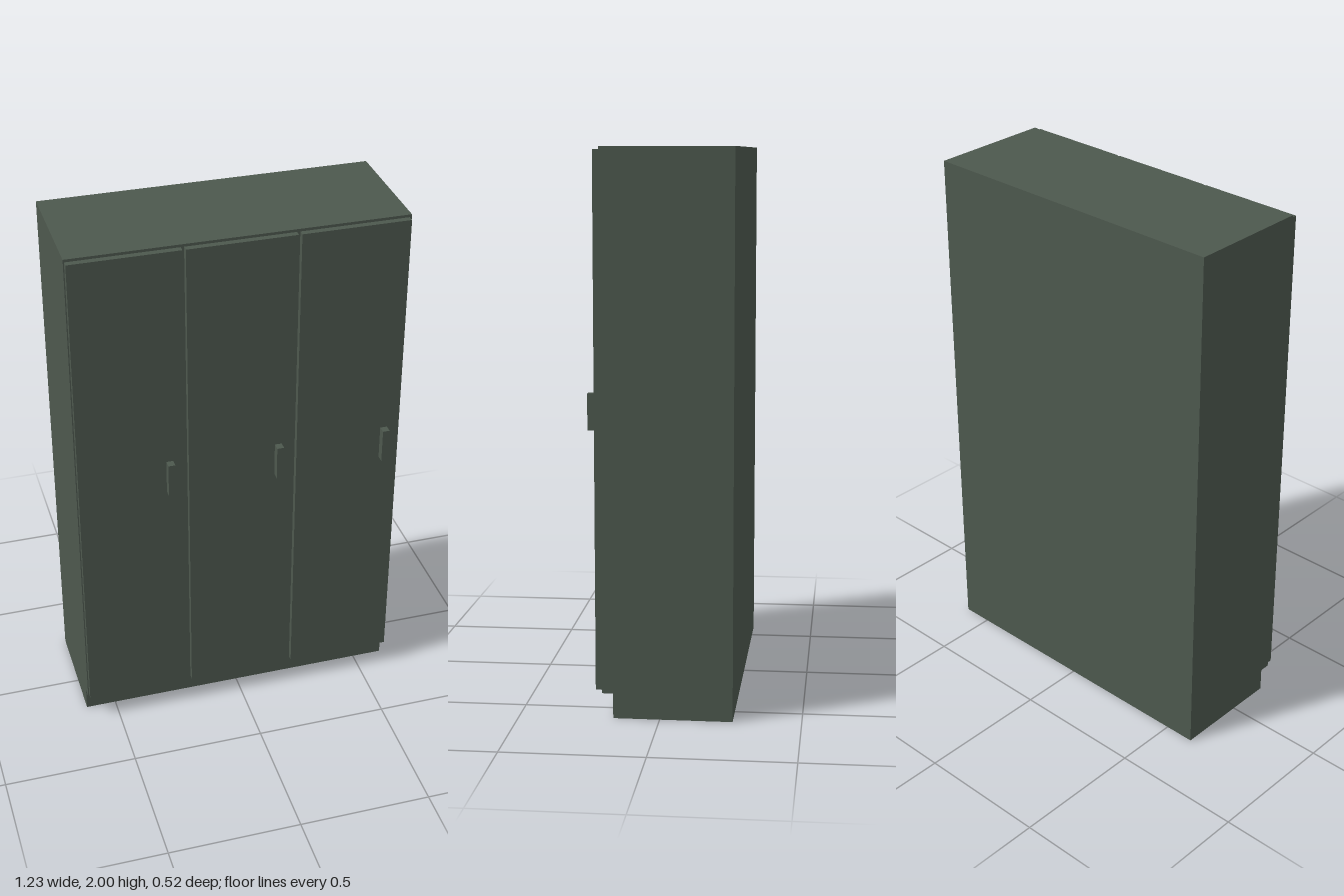
import * as THREE from 'three';

export function createModel() {
  const model = new THREE.Group();
  model.name = 'lockerCabinet';
  const paint = new THREE.MeshStandardMaterial({ color: 0x4d584e });
  paint.name = 'greyGreenPaint';

  const addBox = (parent, name, w, h, d, x, y, z) => {
    const mesh = new THREE.Mesh(new THREE.BoxGeometry(w, h, d), paint);
    mesh.name = name;
    mesh.position.set(x, y, z);
    parent.add(mesh);
  };

  // Carcass with a recessed toe kick: side profile (depth, height) extruded across the width
  const width = 1.23;
  const profile = new THREE.Shape([
    [-0.258, 0], [0.165, 0], [0.165, 0.09], [0.205, 0.09], [0.205, 2], [-0.258, 2],
  ].map(([z, y]) => new THREE.Vector2(-z, y)));
  const carcassGeometry = new THREE.ExtrudeGeometry(profile, { depth: width, bevelEnabled: false });
  carcassGeometry.rotateY(Math.PI / 2).translate(-width / 2, 0, 0);
  const carcass = new THREE.Mesh(carcassGeometry, paint);
  carcass.name = 'carcass';
  model.add(carcass);

  // Three equal doors, each with a block handle near its +x edge
  ['rightDoor', 'middleDoor', 'leftDoor'].forEach((name, i) => {
    const door = new THREE.Group();
    door.name = name;
    door.position.x = (i - 1) * 0.41 - 0.002;
    addBox(door, 'doorPanel', 0.398, 1.89, 0.023, 0, 1.045, 0.2165);
    addBox(door, 'handle', 0.026, 0.13, 0.03, 0.14, 1.085, 0.243);
    model.add(door);
  });

  return model;
}
